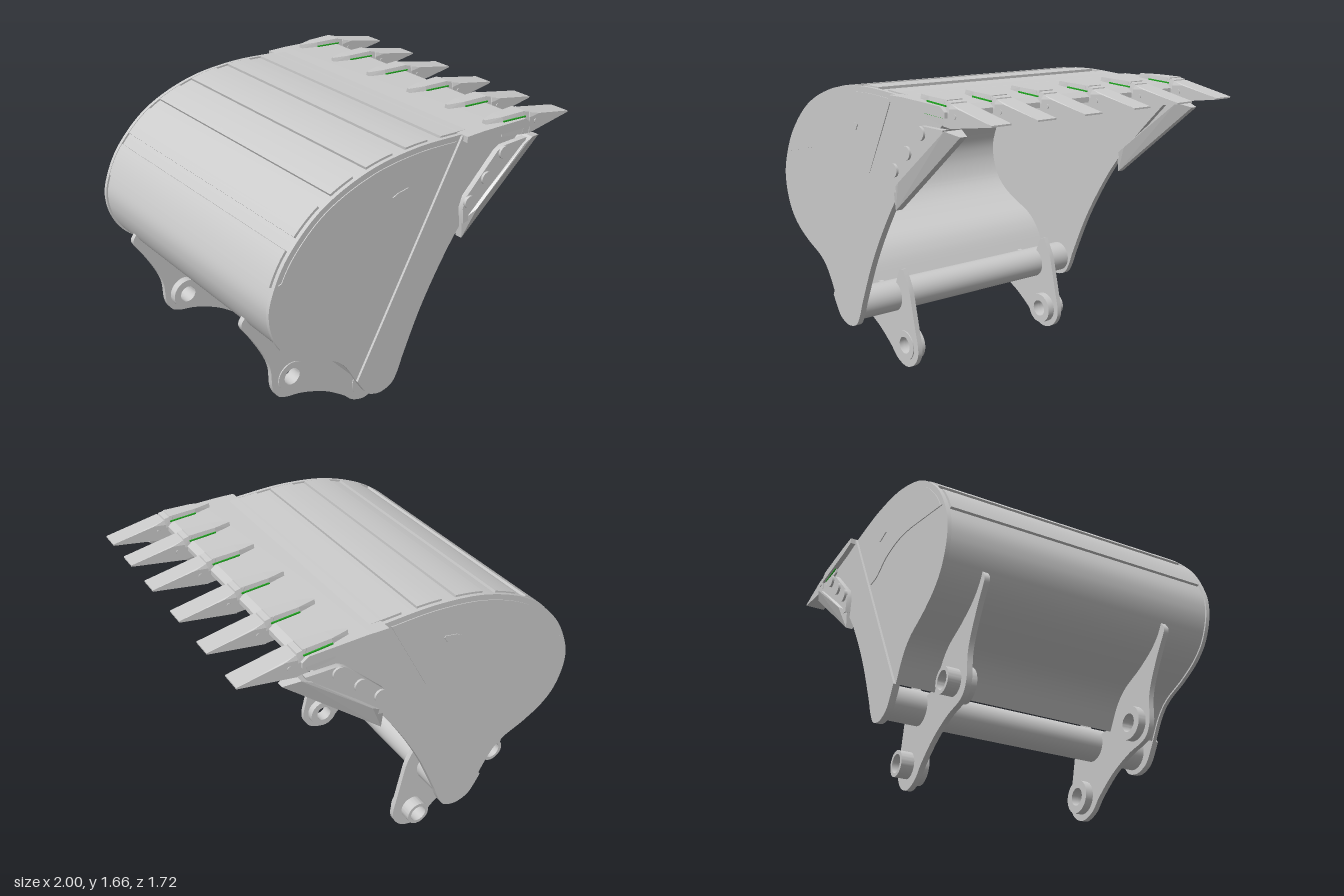
import * as THREE from 'three';
import { toCreasedNormals } from 'three/addons/utils/BufferGeometryUtils.js';
import { ConvexGeometry } from 'three/addons/geometries/ConvexGeometry.js';

const grey = new THREE.MeshStandardMaterial({ color: 0xcccccc });
const green = new THREE.MeshStandardMaterial({ color: 0x22aa22 });

const V2 = (p) => new THREE.Vector2(p[0], p[1]);
const spline = (pts, n) => new THREE.SplineCurve(pts.map(V2)).getPoints(n);

function add(parent, name, geometry, material = grey) {
  const mesh = new THREE.Mesh(geometry, material);
  mesh.name = name;
  parent.add(mesh);
  return mesh;
}

// Flat outline in x/y, extruded from z0 to z1
function plate(parent, name, pts, z0, z1, holes = [], material = grey) {
  const shape = new THREE.Shape(pts.map((p) => (p.isVector2 ? p : V2(p))));
  for (const [x, y, r] of holes) {
    shape.holes.push(new THREE.Path().absarc(x, y, r, 0, Math.PI * 2, true));
  }
  const lo = Math.min(z0, z1);
  const geo = new THREE.ExtrudeGeometry(shape, {
    depth: Math.abs(z1 - z0), bevelEnabled: false, curveSegments: 20,
  });
  geo.translate(0, 0, lo);
  return add(parent, name, toCreasedNormals(geo, 0.5), material);
}

function cylinder(parent, name, x, y, z0, z1, r, seg = 32) {
  const geo = new THREE.CylinderGeometry(r, r, Math.abs(z1 - z0), seg);
  geo.rotateX(Math.PI / 2).translate(x, y, (z0 + z1) / 2);
  return add(parent, name, geo);
}

function ring(parent, name, x, y, z0, z1, r, hole) {
  const circle = new THREE.Path().absarc(x, y, r, 0, Math.PI * 2).getPoints(32);
  circle.pop();
  return plate(parent, name, circle, z0, z1, [[x, y, hole]]);
}

const hull = (parent, name, pts) =>
  add(parent, name, new ConvexGeometry(pts.map((p) => new THREE.Vector3(...p))));

// Move a path to its left (inward for the back curve)
function offset(pts, d) {
  return pts.map((p, i) => {
    const a = pts[Math.max(i - 1, 0)], b = pts[Math.min(i + 1, pts.length - 1)];
    const t = b.clone().sub(a).normalize();
    return new THREE.Vector2(p.x - t.y * d, p.y + t.x * d);
  });
}
const band = (pts, d0, d1) => [...offset(pts, d0), ...offset(pts, d1).reverse()];

export function createModel() {
  const model = new THREE.Group();
  model.name = 'excavatorBucket';

  // Main profile curves
  const back = spline([[0.33, 1.635], [0.2, 1.643], [-0.1, 1.655], [-0.4, 1.62], [-0.68, 1.51],
    [-0.88, 1.33], [-0.98, 1.14], [-0.995, 1.0], [-0.95, 0.86], [-0.87, 0.765], [-0.75, 0.69],
    [-0.61, 0.625], [-0.53, 0.55], [-0.46, 0.43]], 140);
  const toe = spline([[-0.46, 0.43], [-0.4, 0.335], [-0.35, 0.3], [-0.29, 0.288],
    [-0.22, 0.31], [-0.18, 0.37], [-0.15, 0.45]], 30);
  const front = spline([[-0.15, 0.45], [-0.04, 0.7], [0.09, 0.93], [0.23, 1.13],
    [0.42, 1.34], [0.62, 1.54]], 40);
  const rim = [...toe, ...front.slice(1), V2([0.62, 1.585])];

  // Curved shell and the tube across its lower end
  plate(model, 'shell', band(back, 0.01, 0.035), -0.785, 0.785);
  cylinder(model, 'torqueTube', -0.28, 0.41, -0.785, 0.785, 0.092, 40);

  // Wear strips across the shell
  const strips = [[0.09, 0.32], [-0.15, 0.02], [-0.39, -0.22], [-0.61, -0.46],
    [-0.82, -0.68], [-0.955, -0.87]];
  for (const [x0, x1] of strips) {
    const part = back.filter((p) => p.y > 1.05 && p.x >= x0 - 0.01 && p.x <= x1 + 0.01);
    plate(model, 'wearStrip', band(part, -0.004, 0.015), -0.77, 0.77);
  }

  // Cutting lip
  plate(model, 'lip', [[0.21, 1.643], [0.33, 1.643], [0.64, 1.63], [0.675, 1.605],
    [0.675, 1.577], [0.33, 1.595], [0.21, 1.61]], -0.845, 0.845);

  // Side walls, mirrored
  const inner = offset(back, 0.03).filter((p) => p.x < 0.18 && p.y > 1.2);
  const panel = [...inner, ...spline([[-0.94, 1.2], [-0.75, 1.24], [-0.55, 1.28], [-0.4, 1.29],
    [-0.25, 1.265], [-0.14, 1.21], [-0.05, 1.2]], 30)];
  for (const s of [1, -1]) {
    const side = new THREE.Group();
    side.name = s > 0 ? 'frontSide' : 'rearSide';
    model.add(side);
    plate(side, 'sideWall', [...back, ...rim.slice(1)], s * 0.78, s * 0.802);
    plate(side, 'sideEdgePlate', [[0.33, 1.625], [0.205, 1.638], ...rim], s * 0.785, s * 0.815);
    plate(side, 'sidePanel', panel, s * 0.795, s * 0.807);
    plate(side, 'liftingLug', [[-0.25, 1.435], [-0.22, 1.45], [-0.15, 1.46], [-0.145, 1.45],
      [-0.165, 1.418], [-0.18, 1.418]], s * 0.8, s * 0.812);

    // Bolted side cutter with wedge blade
    plate(side, 'cutterBracket', [[0.21, 1.24], [0.22, 1.15], [0.28, 1.16], [0.64, 1.46],
      [0.66, 1.52], [0.48, 1.52], [0.44, 1.5], [0.23, 1.3]], s * 0.81, s * 0.845);
    for (const [x, y] of [[0.25, 1.27], [0.365, 1.373], [0.485, 1.485]]) {
      cylinder(side, 'cutterBolt', x, y, s * 0.84, s * 0.858, 0.035, 24);
    }
    const blade = [];
    for (const [x, y, z0, z1] of [[0.22, 1.165, 0.785, 0.835], [0.3, 1.215, 0.757, 0.86],
      [0.63, 1.49, 0.757, 0.86], [0.69, 1.52, 0.757, 0.86],
      [0.23, 1.055, 0.79, 0.83], [0.775, 1.5, 0.79, 0.83]]) {
      blade.push([x, y, s * z0], [x, y, s * z1]);
    }
    hull(side, 'cutterBlade', blade);
  }

  // Teeth with their adapters
  for (const z of [-0.775, -0.46, -0.14, 0.2, 0.5, 0.772]) {
    const tooth = new THREE.Group();
    tooth.name = 'toothAssembly';
    tooth.position.z = z;
    model.add(tooth);
    const tip = [], nose = [], top = [], bottom = [];
    for (const s of [-1, 1]) {
      tip.push([0.695, 1.645, s * 0.05], [0.69, 1.62, s * 0.059], [0.695, 1.53, s * 0.059],
        [0.76, 1.627, s * 0.059], [1, 1.58, s * 0.058], [1, 1.572, s * 0.058]);
      nose.push([0.64, 1.66, s * 0.045], [0.69, 1.65, s * 0.045], [0.64, 1.535, s * 0.055],
        [0.7, 1.53, s * 0.055], [0.66, 1.6, s * 0.055], [0.7, 1.6, s * 0.055]);
      top.push([0.4, 1.662, s * 0.008], [0.4, 1.638, s * 0.015], [0.5, 1.663, s * 0.035],
        [0.5, 1.63, s * 0.042], [0.66, 1.66, s * 0.045], [0.66, 1.62, s * 0.052]);
      bottom.push([0.49, 1.585, s * 0.05], [0.49, 1.56, s * 0.05], [0.66, 1.575, s * 0.055],
        [0.66, 1.533, s * 0.055]);
      // Weld beads beside the upper and lower legs
      const bead = new THREE.BoxGeometry(0.16, 0.007, 0.007);
      const upper = add(tooth, 'weldBead', bead, green);
      upper.position.set(0.58, 1.636, s * 0.049);
      upper.rotation.set(0, -s * 0.06, -0.05);
      const lower = add(tooth, 'weldBead', bead, green);
      lower.position.set(0.57, 1.58, s * 0.054);
      lower.rotation.z = -0.05;
    }
    hull(tooth, 'toothTip', tip);
    hull(tooth, 'adapterNose', nose);
    hull(tooth, 'adapterTopLeg', top);
    hull(tooth, 'adapterBottomLeg', bottom);
    cylinder(tooth, 'toothPin', 0.735, 1.59, -0.063, 0.063, 0.012, 12);
  }

  // Mounting ears with pin bosses
  const pins = [[-0.672, 0.4], [-0.165, 0.135]];
  const earOutline = [
    ...spline([[-0.95, 0.88], [-0.97, 0.83], [-0.91, 0.73], [-0.84, 0.6], [-0.805, 0.5],
      [-0.797, 0.38], [-0.765, 0.31], [-0.71, 0.28], [-0.6, 0.255], [-0.45, 0.19],
      [-0.32, 0.1], [-0.25, 0.035], [-0.165, 0.006], [-0.09, 0.03], [-0.045, 0.085],
      [-0.037, 0.15], [-0.06, 0.25], [-0.11, 0.46]], 90),
    ...[[-0.125, 0.5], [-0.175, 0.59], [-0.21, 0.58], [-0.25, 0.49], [-0.36, 0.45], [-0.45, 0.46],
      [-0.515, 0.56], [-0.6, 0.635], [-0.74, 0.705], [-0.86, 0.78], [-0.93, 0.87]].map(V2),
  ];
  const ears = [
    { name: 'frontEar', z0: 0.495, z1: 0.525, inside: 0.45, outside: 0.531, r: 0.088 },
    { name: 'rearEar', z0: -0.555, z1: -0.585, inside: -0.51, outside: -0.655, r: 0.07 },
  ];
  for (const e of ears) {
    const ear = new THREE.Group();
    ear.name = e.name;
    model.add(ear);
    plate(ear, 'earPlate', earOutline, e.z0, e.z1, pins.map(([x, y]) => [x, y, 0.05]));
    for (const [x, y] of pins) {
      ring(ear, 'innerBoss', x, y, e.inside, e.z0, 0.093, 0.05);
      ring(ear, 'outerBoss', x, y, e.z1, e.outside, e.r, 0.05);
    }
  }
  return model;
}
